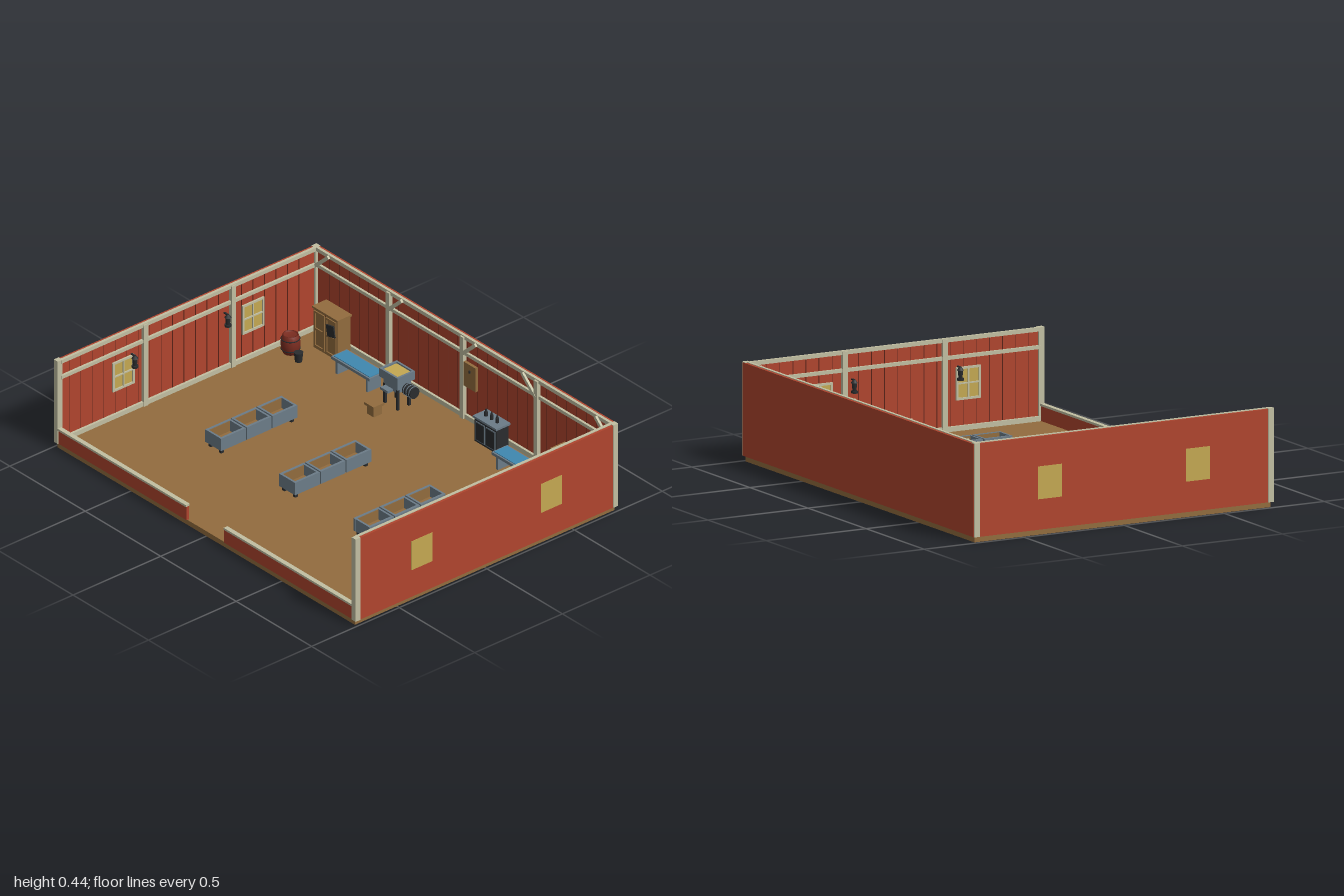
import * as THREE from 'three';

const mat = (name, color) => {
  const m = new THREE.MeshStandardMaterial({ color });
  m.name = name;
  return m;
};

export function createModel() {
  const red = mat('barn red', 0xb0452e), brown = mat('wood brown', 0x926c3e);
  const cream = mat('timber cream', 0xc2bfa2), grey = mat('steel grey', 0x6c7c88);
  const blue = mat('table blue', 0x3f88b0), yellow = mat('window yellow', 0xc4a852);
  const black = mat('iron black', 0x2a2c2e), darkRed = mat('barrel red', 0x7a2c20);
  const seam = mat('seam brown', 0x6b2a1d);

  const root = new THREE.Group();
  root.name = 'barnWorkshop';
  const group = (name, x = 0, y = 0, z = 0, parent = root) => {
    const g = new THREE.Group();
    g.name = name;
    g.position.set(x, y, z);
    parent.add(g);
    return g;
  };
  // Box from centre x, bottom y, centre z
  const box = (p, name, m, w, h, d, x, y, z) => {
    const b = new THREE.Mesh(new THREE.BoxGeometry(w, h, d), m);
    b.name = name;
    b.position.set(x, y + h / 2, z);
    p.add(b);
    return b;
  };
  const cyl = (p, name, m, rTop, rBottom, h, x, y, z, n = 12) => {
    const c = new THREE.Mesh(new THREE.CylinderGeometry(rTop, rBottom, h, n), m);
    c.name = name;
    c.position.set(x, y + h / 2, z);
    p.add(c);
    return c;
  };
  const F = 0.025; // floor level

  // Floor and walls
  box(root, 'floor', brown, 1.97, F, 1.48, 0, 0, 0);
  box(root, 'backWall', red, 1.99, 0.412, 0.014, 0, F, -0.743);
  for (const s of [-1, 1]) {
    box(root, 'sideWall', red, 0.014, 0.412, 1.486, s * 0.991, F, 0);
    box(root, 'frontLowWall', red, 0.855, 0.067, 0.014, s * 0.5525, F, 0.738);
    box(root, 'frontWallCap', cream, 0.86, 0.01, 0.022, s * 0.555, 0.092, 0.738);
  }

  // Timber frame
  const frame = group('timberFrame');
  for (const s of [-1, 1]) {
    for (const z of [-0.735, 0.735]) box(frame, 'cornerPost', cream, 0.026, 0.415, 0.028, s * 0.987, F, z);
    for (const z of [-0.25, 0.25]) box(frame, 'sidePost', cream, 0.02, 0.41, 0.024, s * 0.977, F, z);
    for (const [y, h] of [[F, 0.022], [0.344, 0.016], [0.422, 0.018]])
      box(frame, 'sideRail', cream, 0.014, h, 1.46, s * 0.979, y, 0);
  }
  for (const x of [-0.49, 0, 0.49]) box(frame, 'backPost', cream, 0.022, 0.41, 0.024, x, F, -0.727);
  for (const [y, h] of [[F, 0.022], [0.344, 0.016], [0.422, 0.018]])
    box(frame, 'backRail', cream, 1.96, h, 0.014, 0, y, -0.731);
  for (const [x, s] of [[-0.975, 1], [-0.49, 1], [0, 1], [0.49, -1], [0.975, -1]])
    box(frame, 'brace', cream, 0.118, 0.016, 0.012, x + s * 0.048, 0.385, -0.719).rotation.z = s * 0.75;

  // Plank seams on the inner faces
  const seams = group('plankSeams');
  for (let i = -14; i <= 14; i++)
    box(seams, 'backSeam', seam, 0.003, 0.4, 0.002, i * 0.0655 + 0.02, F, -0.7355);
  for (const s of [-1, 1])
    for (let i = -10; i <= 10; i++)
      box(seams, 'sideSeam', seam, 0.002, 0.4, 0.003, s * 0.9835, F, i * 0.0655 + 0.02);

  // Side windows and wall lanterns
  for (const s of [-1, 1]) {
    for (const z of [-0.37, 0.37]) {
      const w = group('window', s * 0.991, 0.16, z);
      box(w, 'outerPane', yellow, 0.004, 0.145, 0.12, s * 0.0065, 0, 0);
      box(w, 'innerPane', yellow, 0.004, 0.145, 0.12, -s * 0.0075, 0, 0);
      for (const k of [-1, 0, 1]) {
        const t = k ? 0.01 : 0.006;
        box(w, 'mullion', cream, 0.008, 0.145, t, -s * 0.012, 0, k * 0.057);
        box(w, 'glazingBar', cream, 0.008, t, 0.12, -s * 0.012, 0.0725 - t / 2 + k * 0.068, 0);
      }
    }
    for (const z of [-0.21, 0.32]) {
      const l = group('lantern', s * 0.96, 0.25, z);
      box(l, 'bracket', black, 0.026, 0.006, 0.008, s * 0.012, 0.055, 0);
      cyl(l, 'cap', black, 0.006, 0.016, 0.014, 0, 0.045, 0, 8);
      cyl(l, 'body', black, 0.012, 0.009, 0.034, 0, 0.011, 0, 8);
      cyl(l, 'base', black, 0.015, 0.015, 0.011, 0, 0, 0, 8);
    }
  }

  // Barrels and buckets in the rear corners
  const stave = [[0, 0], [0.034, 0], [0.041, 0.02], [0.044, 0.045], [0.041, 0.07], [0.035, 0.09], [0.03, 0.09], [0.03, 0.082], [0, 0.082]];
  for (const s of [-1, 1]) {
    const b = group('barrel', s * 0.905, F, -0.52);
    const body = new THREE.Mesh(new THREE.LatheGeometry(stave.map(p => new THREE.Vector2(...p)), 16), darkRed);
    body.name = 'barrelBody';
    b.add(body);
    for (const y of [0.02, 0.07]) {
      const hoop = new THREE.Mesh(new THREE.TorusGeometry(0.041, 0.003, 4, 16), black);
      hoop.name = 'barrelHoop';
      hoop.rotation.x = Math.PI / 2;
      hoop.position.y = y;
      b.add(hoop);
    }
    cyl(root, 'bucket', black, 0.021, 0.016, 0.045, s * 0.823, F, -0.495);
  }

  // Cabinets
  for (const x of [-0.793, 0.785]) {
    const c = group('cabinet', x, F, -0.66);
    box(c, 'cabinetBody', brown, 0.16, 0.198, 0.075, 0, 0, 0);
    box(c, 'cabinetTop', brown, 0.17, 0.008, 0.083, 0, 0.198, 0);
    for (const s of [-1, 1]) {
      for (const k of [-1, 1]) box(c, 'doorStile', brown, 0.01, 0.18, 0.006, s * 0.039 + k * 0.03, 0.01, 0.04);
      for (const y of [0.01, 0.095, 0.18]) box(c, 'doorRail', brown, 0.05, 0.01, 0.006, s * 0.039, y, 0.04);
    }
    box(c, 'centreGap', seam, 0.003, 0.19, 0.002, 0, 0.005, 0.038);
    box(c, 'hangingApron', black, 0.05, 0.055, 0.008, 0.045, 0.11, 0.045).rotation.z = 0.2;
  }

  // Blue-topped work tables
  for (const x of [-0.535, 0.5275]) {
    const t = group('workTable', x, F, -0.5875);
    box(t, 'tableTop', grey, 0.254, 0.014, 0.09, 0, 0.066, 0);
    box(t, 'tableMat', blue, 0.238, 0.003, 0.074, 0, 0.08, 0);
    for (const s of [-1, 1]) box(t, 'tableLeg', grey, 0.012, 0.066, 0.075, s * 0.1, 0, 0);
  }

  // Forge with a hot bed, side blower and front step
  const forge = group('forge', -0.275, F, -0.585);
  for (const s of [-1, 1])
    for (const k of [-1, 1]) box(forge, 'forgeLeg', black, 0.012, 0.1, 0.012, s * 0.042, 0, k * 0.032);
  box(forge, 'forgeBody', grey, 0.095, 0.045, 0.075, 0, 0.085, 0);
  box(forge, 'forgePan', grey, 0.12, 0.03, 0.1, 0, 0.13, 0);
  for (const s of [-1, 1]) {
    box(forge, 'panRimSide', grey, 0.01, 0.012, 0.1, s * 0.055, 0.16, 0);
    box(forge, 'panRimEnd', grey, 0.1, 0.012, 0.01, 0, 0.16, s * 0.045);
  }
  box(forge, 'hotBed', yellow, 0.1, 0.005, 0.08, 0, 0.16, 0);
  box(forge, 'frontStep', grey, 0.05, 0.012, 0.03, 0, 0.09, 0.06);
  cyl(forge, 'blowerDrum', black, 0.027, 0.027, 0.055, 0.09, 0.077, 0).rotation.z = Math.PI / 2;
  for (const x of [0.072, 0.09, 0.108])
    cyl(forge, 'blowerBand', grey, 0.029, 0.029, 0.004, x, 0.1025, 0).rotation.z = Math.PI / 2;

  // Stool
  const stool = group('stool', -0.275, F, -0.455);
  box(stool, 'seat', brown, 0.062, 0.012, 0.062, 0, 0.045, 0);
  box(stool, 'stoolBody', brown, 0.046, 0.045, 0.046, 0, 0, 0);

  // Wall board with a dark catch
  const board = group('wallBoard', 0.048, 0.195, -0.725);
  box(board, 'boardPanel', brown, 0.084, 0.12, 0.014, 0, 0, 0);
  box(board, 'boardCatch', black, 0.008, 0.012, 0.006, 0.005, 0.08, 0.009);

  // Stove cabinet with three bottles
  const stove = group('stove', 0.253, F, -0.67);
  box(stove, 'stoveBody', black, 0.145, 0.118, 0.07, 0, 0, 0);
  box(stove, 'stoveTop', grey, 0.156, 0.01, 0.082, 0, 0.118, 0);
  for (const s of [-1, 1]) {
    box(stove, 'stoveDoor', grey, 0.062, 0.095, 0.003, s * 0.034, 0.01, 0.036);
    box(stove, 'stoveDoorPanel', black, 0.052, 0.085, 0.003, s * 0.034, 0.015, 0.0375);
  }
  for (const x of [-0.037, 0, 0.037]) {
    cyl(stove, 'bottle', black, 0.008, 0.008, 0.022, x, 0.128, 0, 8);
    cyl(stove, 'bottleNeck', black, 0.003, 0.006, 0.014, x, 0.15, 0, 8);
  }

  // Feeding troughs, three open bins in each row
  for (const x of [-0.495, -0.005, 0.488]) {
    const row = group('troughRow', x, F, 0.0575);
    for (const k of [-1, 0, 1]) {
      const t = group('troughBin', 0, 0, k * 0.147, row);
      box(t, 'binFloor', brown, 0.09, 0.008, 0.13, 0, 0.022, 0);
      for (const s of [-1, 1]) {
        box(t, 'binSide', grey, 0.012, 0.062, 0.141, s * 0.047, 0.02, 0);
        box(t, 'binEnd', grey, 0.084, 0.062, 0.01, 0, 0.02, s * 0.065);
        box(t, 'sideLining', brown, 0.002, 0.05, 0.12, s * 0.04, 0.03, 0);
      }
    }
    for (const s of [-1, 1])
      for (const k of [-1, 1]) box(row, 'troughFoot', black, 0.016, 0.02, 0.016, s * 0.035, 0, k * 0.2);
  }

  return root;
}
